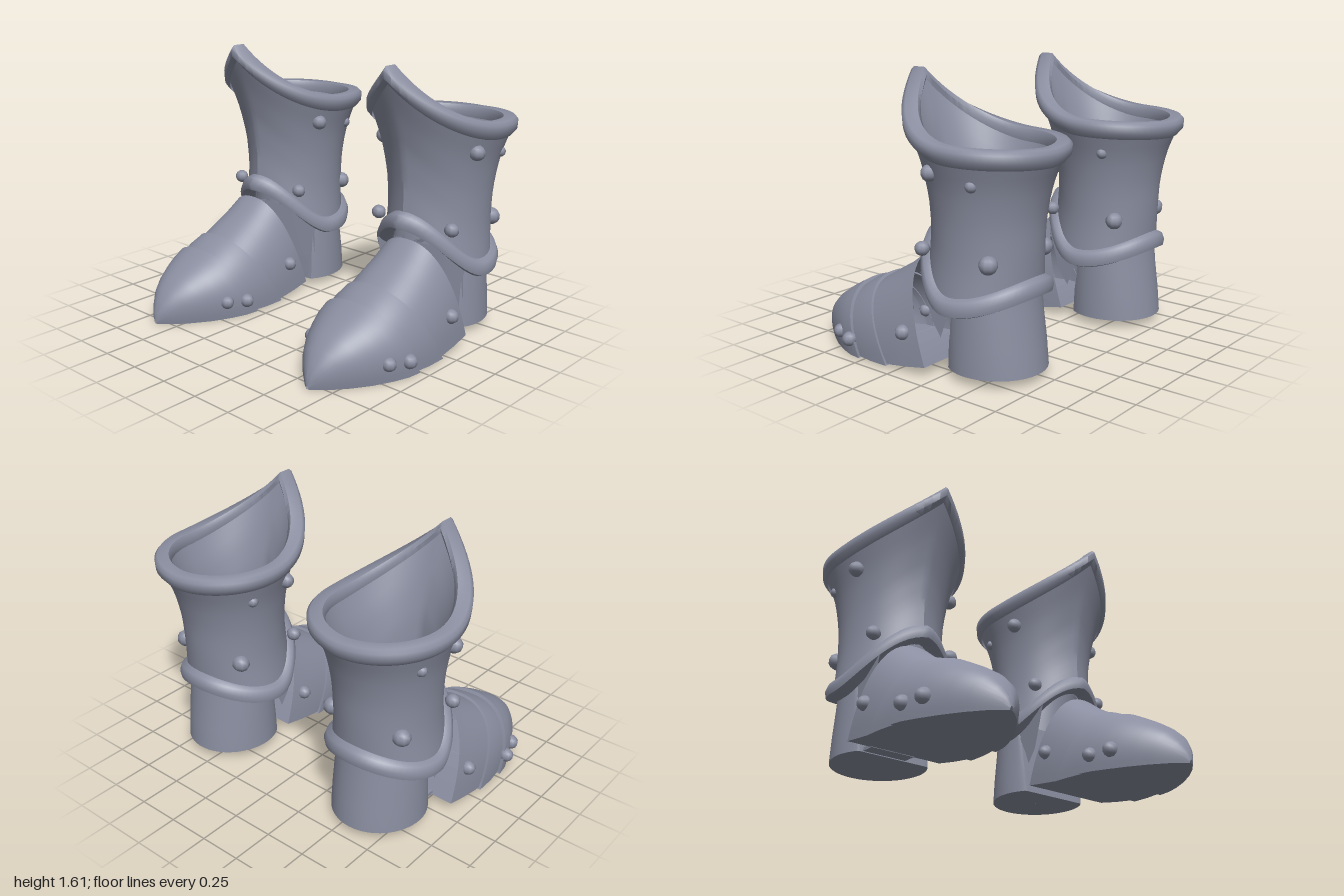
import * as THREE from 'three';
import { toCreasedNormals } from 'three/addons/utils/BufferGeometryUtils.js';

const steel = new THREE.MeshStandardMaterial({ color: 0x8a8ea0, side: THREE.DoubleSide });
steel.name = 'blue grey steel';

const SEG = 64;
const lerp = THREE.MathUtils.lerp;

function add(group, name, geometry) {
  const mesh = new THREE.Mesh(geometry, steel);
  mesh.name = name;
  group.add(mesh);
  return mesh;
}

// Skin a list of closed rings, each an array of [x, y, z]
function loft(rings, crease = 0.6) {
  const n = rings[0].length, index = [];
  for (let r = 0; r < rings.length - 1; r++) {
    for (let i = 0; i < n; i++) {
      const j = (i + 1) % n;
      const a = r * n + i, b = r * n + j, c = a + n, d = b + n;
      index.push(a, b, c, b, d, c);
    }
  }
  const geometry = new THREE.BufferGeometry();
  geometry.setAttribute('position', new THREE.Float32BufferAttribute(rings.flat(2), 3));
  geometry.setIndex(index);
  return toCreasedNormals(geometry, crease);
}

// Egg-shaped ring: half width a, back radius b, pointed front reach f, centre depth c
function eggRing(a, b, f, c, yAt, zMax = 9) {
  const ring = [];
  for (let i = 0; i < SEG; i++) {
    const phi = (i / SEG) * Math.PI * 2 - Math.PI;
    const t = Math.max(0, 1 - Math.abs(phi) / (Math.PI / 2));
    const cos = Math.cos(phi);
    const z = cos > 0 ? f * (0.6 * cos + 0.4 * t) : b * cos;
    ring.push([a * Math.sin(phi), yAt(phi), Math.min(c + z, zMax)]);
  }
  return ring;
}

// Height of the peaked top edge and of the arched lower edge around the leg
function topEdge(phi) {
  const t = Math.max(0, 1 - Math.abs(phi) / (Math.PI / 2));
  return 1.27 + 0.04 * (1 - Math.abs(phi) / Math.PI) + 0.31 * Math.pow(t, 1.9);
}
function lowEdge(phi) {
  const c = Math.cos(phi);
  return 0.39 + (c > 0 ? 0.29 : 0.09) * c * c;
}

// Leg radii (half width, back, front) from hem to rim
const legCurve = new THREE.CatmullRomCurve3([
  [0.32, 0.30, 0.34], [0.30, 0.30, 0.345], [0.30, 0.30, 0.38],
  [0.325, 0.325, 0.45], [0.385, 0.385, 0.54],
].map((p) => new THREE.Vector3(...p)));

function legWall(inset) {
  const rings = [];
  for (let k = 0; k <= 14; k++) {
    const v = k / 14, p = legCurve.getPoint(v);
    rings.push(eggRing(p.x - inset, p.y - inset, p.z - inset * 1.3, lerp(-0.36, -0.4, v),
      (phi) => lerp(lowEdge(phi) + 0.03, topEdge(phi) - 0.05, v)));
  }
  return loft(rings);
}

// Band that follows an edge; section is a list of [outward offset, height offset]
function trim(section, a, b, f, c, edge) {
  return loft(section.map(([o, dy]) => eggRing(a + o, b + o, f + o * 1.2, c, (phi) => edge(phi) + dy)), 0.9);
}

// Foot plate: stations are [base z, crest z, base y, crest y, half width]
function footPlate(stations) {
  const n = 40;
  return loft(stations.map(([zb, zt, yb, yt, w]) => {
    const ring = [];
    for (let i = 0; i <= n; i++) {
      const a = (i / n) * Math.PI;
      const h = Math.pow(Math.sin(a) + 1e-9, 0.84);
      const x = Math.sign(Math.cos(a)) * Math.pow(Math.abs(Math.cos(a)), 0.84);
      ring.push([w * x, lerp(yb, yt, h), lerp(zb, zt, h)]);
    }
    return ring;
  }), 0.7);
}

function createBoot(side) {
  const boot = new THREE.Group();
  boot.name = side > 0 ? 'leftBoot' : 'rightBoot';
  boot.position.x = side * 0.585;

  // Leg guard with lining and edge bands
  add(boot, 'legShell', legWall(0));
  add(boot, 'legLining', legWall(0.055));
  add(boot, 'topRim', trim(
    [[-0.03, -0.1], [0, -0.065], [0.003, -0.02], [-0.015, 0], [-0.08, 0], [-0.095, -0.03], [-0.085, -0.08]],
    0.41, 0.41, 0.57, -0.4, topEdge));
  add(boot, 'lowerRim', trim(
    [[-0.005, 0.1], [0.03, 0.085], [0.045, 0.045], [0.038, 0.008], [0.01, -0.003], [-0.04, 0], [-0.055, 0.04]],
    0.315, 0.31, 0.345, -0.36, lowEdge));

  // Heel cup with a flat front and closed sole
  const flat = (y) => () => y;
  add(boot, 'heel', loft([
    eggRing(0.002, 0.002, 0.002, -0.45, flat(0.06)),
    eggRing(0.275, 0.29, 0.3, -0.42, flat(0.06), -0.27),
    eggRing(0.272, 0.275, 0.3, -0.42, flat(0.2), -0.28),
    eggRing(0.265, 0.25, 0.3, -0.42, flat(0.36), -0.3),
    eggRing(0.26, 0.235, 0.3, -0.42, flat(0.5), -0.315),
  ]));

  // Overlapping foot plates
  const foot = new THREE.Group();
  foot.name = 'foot';
  foot.position.x = side * 0.04;
  boot.add(foot);
  add(foot, 'instepPlate', footPlate([
    [-0.2, -0.01, 0.07, 0.63, 0.295], [-0.08, 0.08, 0.05, 0.56, 0.305],
    [0.03, 0.19, 0.035, 0.495, 0.31], [0.14, 0.33, 0.025, 0.41, 0.308],
  ]));
  add(foot, 'middlePlate', footPlate([
    [0.07, 0.285, 0.03, 0.425, 0.305], [0.06, 0.3, 0.025, 0.447, 0.325],
    [0.18, 0.38, 0.022, 0.41, 0.322], [0.33, 0.47, 0.02, 0.35, 0.3],
  ]));
  add(foot, 'toePlate', footPlate([
    [0.28, 0.43, 0.022, 0.365, 0.305], [0.27, 0.445, 0.018, 0.39, 0.328],
    [0.35, 0.5, 0.015, 0.36, 0.315], [0.44, 0.57, 0.012, 0.32, 0.28],
    [0.55, 0.655, 0.01, 0.265, 0.225], [0.65, 0.725, 0.01, 0.205, 0.16],
    [0.73, 0.77, 0.01, 0.14, 0.095], [0.78, 0.8, 0.01, 0.08, 0.042],
    [0.805, 0.81, 0.01, 0.03, 0.008],
  ]));

  // Torn ankle flaps in the gap between foot and heel
  const flap = new THREE.Shape([[0.09, 0.56], [0.12, 0.46], [0.17, 0.3], [0.23, 0.22], [0.26, 0.3], [0.31, 0.4], [0.33, 0.5]]
    .map((p) => new THREE.Vector2(...p)));
  for (const s of [1, -1]) {
    const mesh = add(boot, 'ankleFlap', new THREE.ShapeGeometry(flap));
    mesh.rotation.y = Math.PI / 2;
    mesh.position.x = s * 0.235;
  }
  if (side < 0) {
    const strip = add(boot, 'soleStrip', new THREE.BoxGeometry(0.27, 0.02, 0.09));
    strip.position.set(-0.06, 0.075, -0.23);
  }

  // Studs as [x, y, z, size], repeated on both flanks
  const stud = new THREE.SphereGeometry(1, 9, 7);
  const addStud = (parent, s, [x, y, z, r]) => {
    const mesh = add(parent, 'stud', stud);
    mesh.position.set(s * x, y, z);
    mesh.scale.set(r * 1.1, r, r);
  };
  for (const s of [1, -1]) {
    for (const p of [[0.325, 1.13, -0.25, 0.045], [0.305, 1.09, -0.51, 0.033],
      [0.235, 0.68, -0.56, 0.05], [0.26, 0.7, -0.13, 0.04]]) addStud(boot, s, p);
    for (const p of [[0.295, 0.235, -0.045, 0.042], [0.315, 0.11, 0.35, 0.042]]) addStud(foot, s, p);
  }
  addStud(foot, -1, [0.27, 0.12, 0.47, 0.045]);
  addStud(foot, 1, [0.27, 0.12, 0.47, 0.04]);
  return boot;
}

export function createModel() {
  const model = new THREE.Group();
  model.name = 'armouredBoots';
  model.add(createBoot(1), createBoot(-1));
  return model;
}
